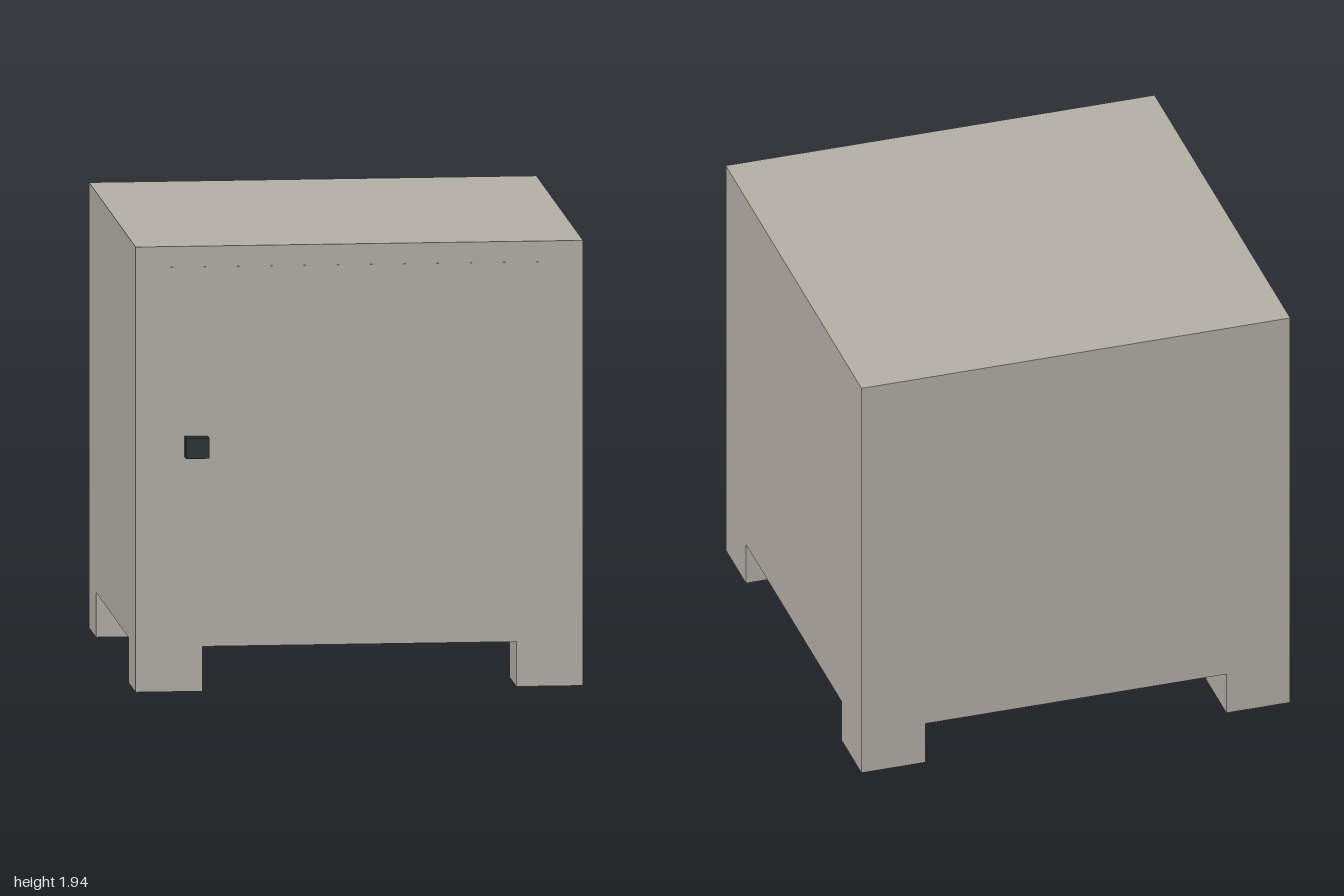
import * as THREE from 'three';

export function createModel() {
  const model = new THREE.Group();
  model.name = 'bedsideCabinet';

  const paint = new THREE.MeshStandardMaterial({ color: 0xb5b1a8 });
  paint.name = 'warm grey paint';
  const dark = new THREE.MeshStandardMaterial({ color: 0x2b3535 });
  dark.name = 'dark handle';

  // Box given by its lower and upper corners
  function addBox(name, material, [x0, y0, z0], [x1, y1, z1]) {
    const mesh = new THREE.Mesh(new THREE.BoxGeometry(x1 - x0, y1 - y0, z1 - z0), material);
    mesh.position.set((x0 + x1) / 2, (y0 + y1) / 2, (z0 + z1) / 2);
    mesh.name = name;
    model.add(mesh);
  }

  const half = 0.967, back = -1, front = 0.935, legHeight = 0.195, top = 1.935, leg = 0.288;

  // Cabinet body and its nearly flush door
  addBox('body', paint, [-half, legHeight, back], [half, top, front]);
  addBox('door', paint, [-0.87, 0.28, front - 0.005], [0.87, 1.845, front + 0.001]);

  // Square handle on the door
  addBox('handle', dark, [-0.755, 1.02, front], [-0.655, 1.11, 1]);

  // Four square legs flush with the corners
  for (const [xName, x] of [['Right', -half], ['Left', half - leg]]) {
    for (const [zName, z] of [['back', back], ['front', front - leg]]) {
      addBox(zName + xName + 'Leg', paint, [x, 0, z], [x + leg, legHeight, z + leg]);
    }
  }

  return model;
}
